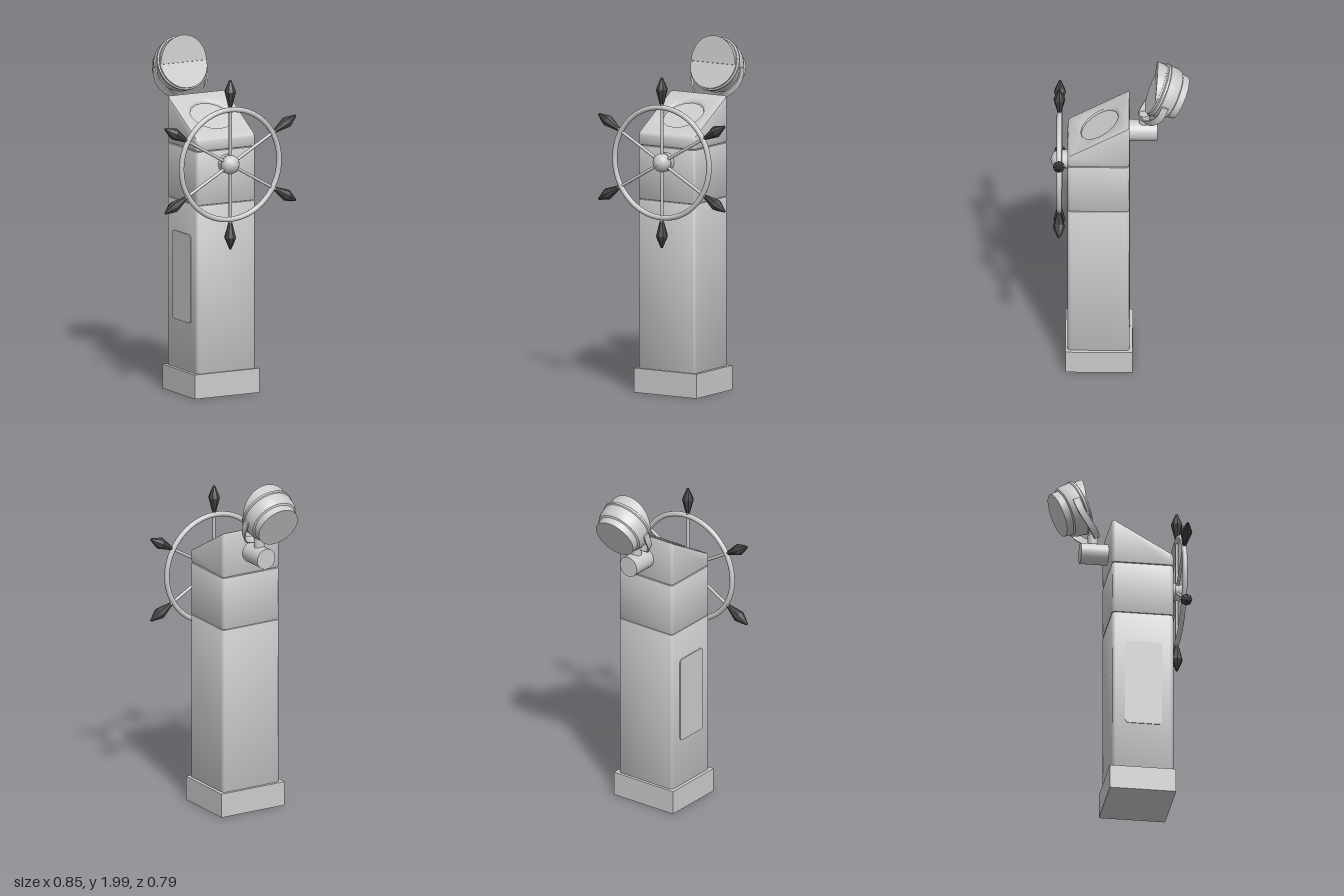
import * as THREE from 'three';
import { toCreasedNormals } from 'three/addons/utils/BufferGeometryUtils.js';

const grey = new THREE.MeshStandardMaterial({ color: 0xcccccc });
const greyDouble = new THREE.MeshStandardMaterial({ color: 0xcccccc, side: THREE.DoubleSide });
const dark = new THREE.MeshStandardMaterial({ color: 0x444444 });
const V = (x, y, z) => new THREE.Vector3(x, y, z);
const CZ = 0.123; // column centre in z

function add(parent, name, geometry, material = grey, x = 0, y = 0, z = 0) {
  const mesh = new THREE.Mesh(geometry, material);
  mesh.name = name;
  mesh.position.set(x, y, z);
  parent.add(mesh);
  return mesh;
}

function roundedRect(w, h, r) {
  const s = new THREE.Shape();
  s.absarc(w - r, h - r, r, 0, Math.PI / 2);
  s.absarc(r - w, h - r, r, Math.PI / 2, Math.PI);
  s.absarc(r - w, r - h, r, Math.PI, Math.PI * 1.5);
  s.absarc(w - r, r - h, r, Math.PI * 1.5, Math.PI * 2);
  s.closePath();
  return s;
}

// Upright block with softened edges, from y0 to y1
function block(shape, y0, y1, bevel) {
  const g = new THREE.ExtrudeGeometry(shape, {
    depth: y1 - y0 - 2 * bevel, bevelThickness: bevel, bevelSize: bevel,
    bevelOffset: -bevel, bevelSegments: 2, curveSegments: 8,
  });
  return g.rotateX(-Math.PI / 2).translate(0, y0 + bevel, CZ);
}

const lathe = (pts, n) =>
  new THREE.LatheGeometry(pts.map(([r, y]) => new THREE.Vector2(r, y)), n);

function buildPedestal(root) {
  add(root, 'base', new THREE.BoxGeometry(0.42, 0.14, 0.38), grey, 0, 0.07, 0.12);
  const section = () => roundedRect(0.19, 0.176, 0.02);
  add(root, 'lowerColumn', toCreasedNormals(block(section(), 0.13, 1.11, 0.007), 0.6));
  add(root, 'upperColumn', toCreasedNormals(block(section(), 1.11, 1.42, 0.007), 0.6));

  // Sloped head with a dial well: the top of a flat block is lifted onto the slope
  const slope = (z) => 1.49 + (0.298 - z) * 0.575;
  const top = section();
  const well = new THREE.Path();
  well.absellipse(0, 0.006, 0.122, 0.105, 0, Math.PI * 2, true);
  top.holes.push(well);
  const head = block(top, 1.42, 1.49, 0.012);
  const p = head.attributes.position;
  for (let i = 0; i < p.count; i++) {
    if (p.getY(i) > 1.455) p.setY(i, p.getY(i) - 1.49 + slope(p.getZ(i)));
  }
  add(root, 'slopedHead', toCreasedNormals(head, 0.6));
  const dial = add(root, 'dial', new THREE.CircleGeometry(0.13, 40), grey, 0, 1.58, 0.11);
  dial.rotation.x = Math.atan(0.575) - Math.PI / 2;

  // Access door on the right side
  const door = new THREE.ExtrudeGeometry(roundedRect(0.105, 0.255, 0.02), { depth: 0.01, bevelEnabled: false });
  add(root, 'accessDoor', door, grey, -0.185, 0.675, 0.125).rotation.y = -Math.PI / 2;
}

function buildWheel(root) {
  const wheel = new THREE.Group();
  wheel.name = 'steeringWheel';
  wheel.position.set(0, 1.34, 0.345);
  add(wheel, 'rim', new THREE.TorusGeometry(0.316, 0.015, 12, 64));
  const hub = lathe([[0, -0.02], [0.05, -0.02], [0.055, -0.005], [0.052, 0.015], [0.04, 0.034], [0.02, 0.046], [0, 0.05]], 20);
  add(wheel, 'hub', hub).rotation.x = Math.PI / 2;
  add(wheel, 'axle', new THREE.CylinderGeometry(0.054, 0.054, 0.05, 12), grey, 0, 0, -0.04).rotation.x = Math.PI / 2;

  const gripMaterial = dark.clone();
  gripMaterial.flatShading = true;
  const grip = lathe([[0, 0.335], [0.012, 0.335], [0.016, 0.35], [0.034, 0.42], [0.027, 0.44], [0.006, 0.488], [0, 0.49]], 8);
  for (let i = 0; i < 6; i++) {
    const arm = new THREE.Group();
    arm.name = 'spokeArm';
    arm.rotation.z = (i * Math.PI) / 3;
    add(arm, 'spoke', new THREE.CylinderGeometry(0.009, 0.009, 0.34, 10), grey, 0, 0.18, 0);
    add(arm, 'handGrip', grip, gripMaterial);
    wheel.add(arm);
  }
  root.add(wheel);
}

// Flat strap following a curve, its width turned towards a given direction
function strap(curve, widthDir, width, thick, n = 40) {
  const pos = [], idx = [];
  for (let i = 0; i <= n; i++) {
    const c = curve.getPoint(i / n), t = curve.getTangent(i / n);
    const w = widthDir.clone().addScaledVector(t, -widthDir.dot(t)).normalize();
    const o = t.clone().cross(w);
    for (const [a, b] of [[-1, -1], [1, -1], [1, 1], [-1, 1]]) {
      const q = c.clone().addScaledVector(w, (a * width) / 2).addScaledVector(o, (b * thick) / 2);
      pos.push(q.x, q.y, q.z);
    }
    for (let k = 0; i < n && k < 4; k++) {
      const a = i * 4 + k, b = i * 4 + ((k + 1) % 4);
      idx.push(a, b, b + 4, a, b + 4, a + 4);
    }
  }
  const e = n * 4;
  idx.push(0, 2, 1, 0, 3, 2, e, e + 1, e + 2, e, e + 2, e + 3);
  const g = new THREE.BufferGeometry();
  g.setAttribute('position', new THREE.Float32BufferAttribute(pos, 3));
  g.setIndex(idx);
  return toCreasedNormals(g, 0.6);
}

function buildLamp(root) {
  // Arm and post behind the head
  add(root, 'lampArm', new THREE.CylinderGeometry(0.06, 0.06, 0.17, 28), grey, 0, 1.548, -0.125).rotation.x = Math.PI / 2;
  add(root, 'lampPost', new THREE.CylinderGeometry(0.03, 0.03, 0.08, 20), grey, 0, 1.62, -0.135);

  // Yoke passing under the lamp
  const half = [[0.158, 1.815, -0.255], [0.158, 1.745, -0.225], [0.128, 1.69, -0.18], [0.07, 1.655, -0.135]];
  const path = [
    ...half.map(([x, y, z]) => V(-x, y, z)), V(0, 1.645, -0.115),
    ...half.map(([x, y, z]) => V(x, y, z)).reverse(),
  ];
  add(root, 'yoke', strap(new THREE.CatmullRomCurve3(path), V(0, 0.75, 0.66), 0.04, 0.008), greyDouble);

  // Housing built along local y, then tipped so that it looks forward and up
  const lamp = new THREE.Group();
  lamp.name = 'lamp';
  lamp.position.set(0, 1.775, -0.339);
  lamp.rotation.x = Math.PI / 2 - 0.427;
  const body = lathe([[0, 0], [0.126, 0], [0.13, 0.04], [0.14, 0.046], [0.151, 0.075], [0.153, 0.12],
    [0.158, 0.125], [0.158, 0.138], [0.15, 0.143], [0.15, 0.152], [0, 0.152]], 48);
  add(lamp, 'housing', toCreasedNormals(body, 0.5));

  // Hood over the upper half of the lens, a half disc cut to a wedge
  const hoodShape = new THREE.Shape();
  hoodShape.absarc(0, 0, 0.147, 0, Math.PI);
  hoodShape.closePath();
  const hood = new THREE.ExtrudeGeometry(hoodShape, { depth: 1, bevelEnabled: false, curveSegments: 32 });
  const p = hood.attributes.position;
  for (let i = 0; i < p.count; i++) {
    p.setZ(i, p.getZ(i) > 0.5 ? 0.156 + Math.max(0, p.getY(i)) * 0.34 : 0.145);
  }
  hood.rotateX(-Math.PI / 2);
  add(lamp, 'hood', toCreasedNormals(hood, 0.5));
  root.add(lamp);
}

export function createModel() {
  const root = new THREE.Group();
  root.name = 'helmStand';
  buildPedestal(root);
  buildWheel(root);
  buildLamp(root);
  return root;
}
